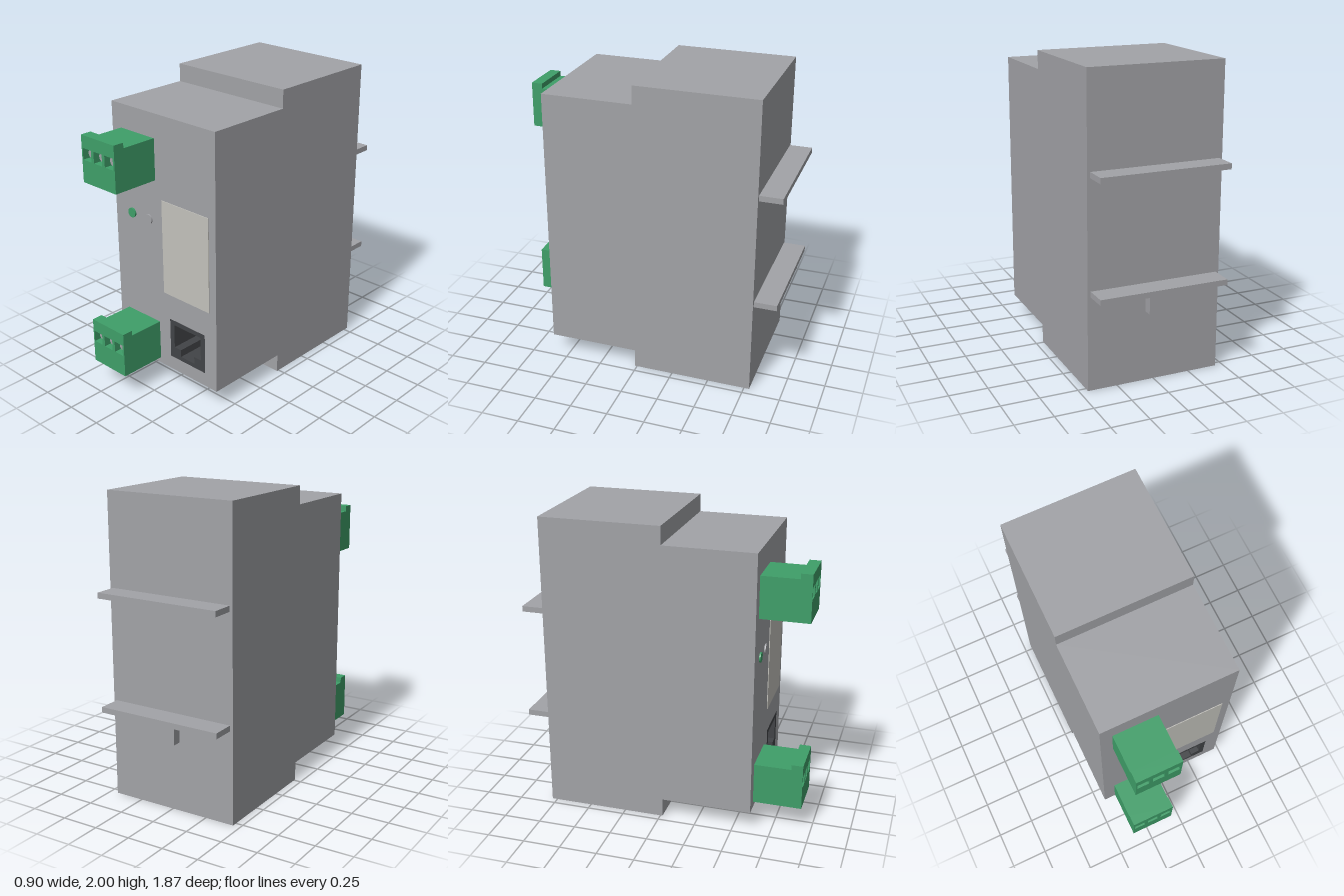
import * as THREE from 'three';

const mat = (name, color) => {
  const m = new THREE.MeshStandardMaterial({ color });
  m.name = name;
  return m;
};

const rectPoints = (x0, y0, x1, y1) => [[x0, y0], [x1, y0], [x1, y1], [x0, y1]].map(p => new THREE.Vector2(...p));

// extruded outline with cut-outs, from z0 to z1
function cutPlate(outline, holes, z0, z1) {
  const shape = new THREE.Shape(outline);
  for (const h of holes) shape.holes.push(new THREE.Path(h));
  const g = new THREE.ExtrudeGeometry(shape, { depth: z1 - z0, bevelEnabled: false });
  return g.translate(0, 0, z0);
}

// box given by its two corners
function span(x0, y0, z0, x1, y1, z1) {
  return new THREE.BoxGeometry(x1 - x0, y1 - y0, z1 - z0)
    .translate((x0 + x1) / 2, (y0 + y1) / 2, (z0 + z1) / 2);
}

function add(parent, name, geometry, material) {
  const mesh = new THREE.Mesh(geometry, material);
  mesh.name = name;
  parent.add(mesh);
  return mesh;
}

const disc = (x, y, z0, z1, r, sides) =>
  new THREE.CylinderGeometry(r, r, z1 - z0, sides).rotateX(Math.PI / 2).translate(x, y, (z0 + z1) / 2);

export function createModel() {
  const model = new THREE.Group();
  model.name = 'railModule';
  const grey = mat('housingGrey', 0xa2a3a7);
  const green = mat('terminalGreen', 0x3f9f69);
  const dark = mat('socketDark', 0x424447);
  const cream = mat('labelCream', 0xc3c2bc);
  const metal = mat('pinMetal', 0xc8c8c4);

  const FRONT = 0.615, STEP = 0.015, BACK = -0.785;

  // housing: tall rear half and shorter front half with a socket opening
  const socketRect = rectPoints(0.03, 0.22, 0.345, 0.5);
  add(model, 'rearHousing', span(-0.45, 0, BACK, 0.447, 2, STEP), grey);
  add(model, 'frontHousing', cutPlate(rectPoints(-0.45, 0.125, 0.447, 1.88), [socketRect], STEP, FRONT), grey);

  // network socket with stepped opening and contact pins
  const socket = new THREE.Group();
  socket.name = 'networkSocket';
  model.add(socket);
  const opening = [
    [0.125, 0.25], [0.247, 0.25], [0.247, 0.3], [0.307, 0.3],
    [0.307, 0.467], [0.067, 0.467], [0.067, 0.3], [0.125, 0.3],
  ].map(p => new THREE.Vector2(...p));
  add(socket, 'socketShell', cutPlate(socketRect, [opening], 0.25, FRONT), dark);
  add(socket, 'socketBack', span(0.03, 0.22, 0.23, 0.345, 0.5, 0.25), dark);
  for (let i = 0; i < 8; i++) {
    const x = 0.117 + i * 0.02;
    add(socket, 'contactPin', span(x - 0.004, 0.45, 0.3, x + 0.004, 0.467, 0.56), metal);
  }

  // pluggable screw terminals
  const screwX = [-0.322, -0.222, -0.122];
  for (const y of [0.165, 1.445]) {
    const terminal = new THREE.Group();
    terminal.name = 'terminalBlock';
    terminal.position.y = y;
    model.add(terminal);
    const square = (x, c) => rectPoints(x - 0.038, c - 0.038, x + 0.038, c + 0.038);
    // front plate with screw wells and raised lip
    add(terminal, 'terminalFront',
      cutPlate(rectPoints(-0.37, 0, -0.07, 0.31), screwX.map(x => square(x, 0.188)), 0.86, 0.935), green);
    // rear block: solid top above wire openings in the underside
    add(terminal, 'terminalTop', span(-0.37, 0.15, FRONT, -0.07, 0.275, 0.86), green);
    const lower = cutPlate(rectPoints(-0.37, FRONT, -0.07, 0.86), screwX.map(x => square(x, 0.79)), 0, 0.15);
    add(terminal, 'terminalWireEntry', lower.rotateX(Math.PI / 2).translate(0, 0.15, 0), green);
    for (const x of screwX) add(terminal, 'terminalScrew', disc(x, 0.188, 0.86, 0.9, 0.029, 16), grey);
  }

  // front panel details
  add(model, 'label', span(-0.015, 0.68, FRONT, 0.39, 1.325, 0.62), cream);
  add(model, 'statusLight', disc(-0.293, 1.163, FRONT, 0.625, 0.033, 32), green);
  add(model, 'button', disc(-0.14, 1.163, FRONT, 0.625, 0.033, 32), grey);

  // rail mounting ledges and release clip on the back
  for (const y of [0.615, 1.355]) {
    add(model, 'railLedge', span(-0.43, y, -0.935, 0.427, y + 0.037, BACK), grey);
  }
  add(model, 'railClip', span(-0.06, 0.465, -0.845, 0.06, 0.615, BACK), grey);

  return model;
}
